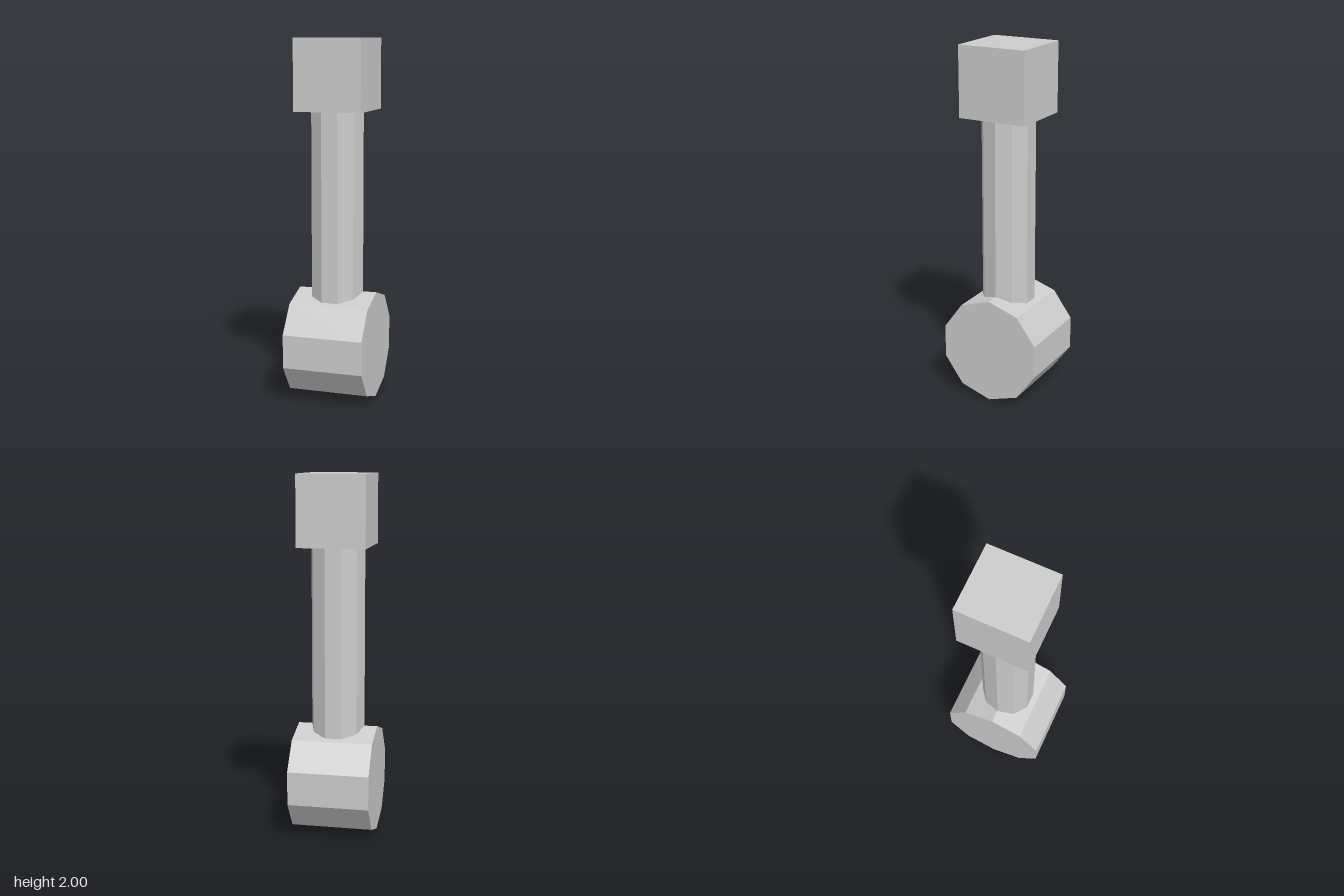
import * as THREE from 'three';

export function createModel() {
  const model = new THREE.Group();
  const material = new THREE.MeshStandardMaterial({ color: 0xcccccc, flatShading: true });

  const add = (name, geometry, x, y, z) => {
    const mesh = new THREE.Mesh(geometry, material);
    mesh.name = name;
    mesh.position.set(x, y, z);
    model.add(mesh);
  };

  // Ten-sided prism with a corner pointing along x
  const prism = (radius, length) =>
    new THREE.CylinderGeometry(radius, radius, length, 10, 1, false, Math.PI / 2);

  // Drum lying along x, one corner touching the ground
  add('drumBase', prism(0.302, 0.45).rotateZ(Math.PI / 2), 0, 0.302, 0);

  // Upright shaft, sunk into the drum
  add('shaft', prism(0.15, 1.26), -0.002, 0.98, 0);

  // Block on top
  add('topBlock', new THREE.BoxGeometry(0.376, 0.39, 0.394), 0, 1.805, -0.002);

  return model;
}
